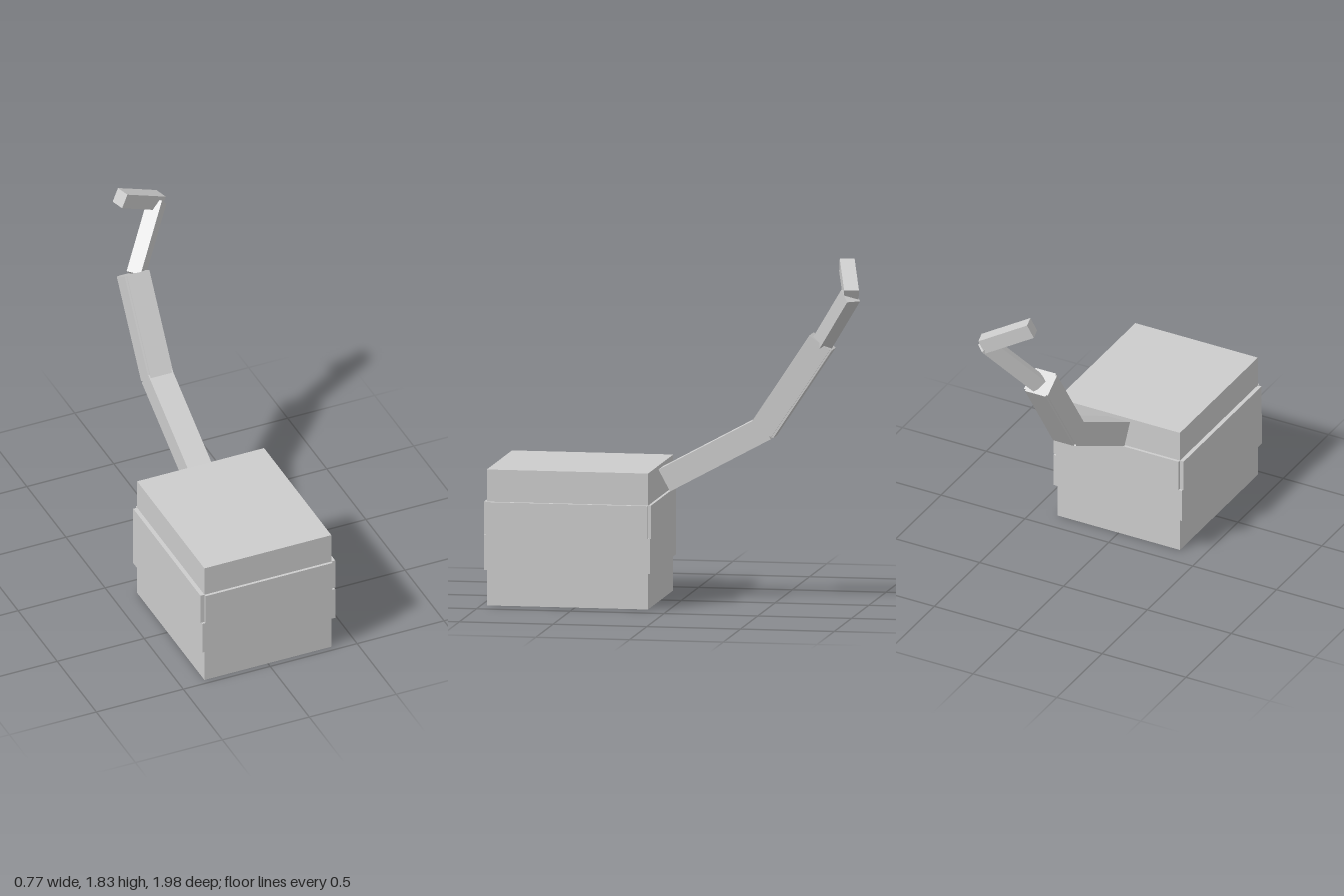
import * as THREE from 'three';

const grey = new THREE.MeshStandardMaterial({ color: 0xcccccc });
grey.name = 'plain grey';

export function createModel() {
  const model = new THREE.Group();
  model.name = 'blockWithJointedArm';

  // Stacked body: each block is centred on x = 0, z = 0.54
  function block(name, width, depth, y0, y1) {
    const mesh = new THREE.Mesh(new THREE.BoxGeometry(width, y1 - y0, depth), grey);
    mesh.name = name;
    mesh.position.set(0, (y0 + y1) / 2, 0.54);
    model.add(mesh);
  }
  block('bodyBase', 0.73, 0.86, 0, 0.19);
  block('lowerBand', 0.765, 0.885, 0.19, 0.375);
  // Upper band has notched corners, so two blocks cross
  block('upperBandSides', 0.775, 0.86, 0.375, 0.55);
  block('upperBandEnds', 0.73, 0.89, 0.375, 0.55);
  block('bodyTop', 0.73, 0.86, 0.55, 0.72);

  // Square bar from one point to another, with one axis kept level
  function bar(name, from, to, width, thickness) {
    const a = new THREE.Vector3(...from), b = new THREE.Vector3(...to);
    const mesh = new THREE.Mesh(new THREE.BoxGeometry(width, thickness, a.distanceTo(b)), grey);
    mesh.name = name;
    mesh.position.copy(a).lerp(b, 0.5);
    const along = b.clone().sub(a).normalize();
    const side = new THREE.Vector3(0, 1, 0).cross(along).normalize();
    const up = along.clone().cross(side);
    mesh.quaternion.setFromRotationMatrix(new THREE.Matrix4().makeBasis(side, up, along));
    model.add(mesh);
  }
  // Jointed arm
  bar('lowerArm', [0, 0.643, 0.078], [0, 0.933, -0.459], 0.136, 0.13);
  const elbow = [0, 0.92, -0.442], wrist = [0, 1.391, -0.754];
  bar('middleArmSides', elbow, wrist, 0.142, 0.122);
  bar('middleArmFaces', elbow, wrist, 0.122, 0.142);
  bar('upperArm', [0.015, 1.38, -0.752], [0.225, 1.67, -0.945], 0.08, 0.083);
  bar('tip', [0.235, 1.665, -0.95], [-0.018, 1.798, -0.88], 0.078, 0.08);

  return model;
}
